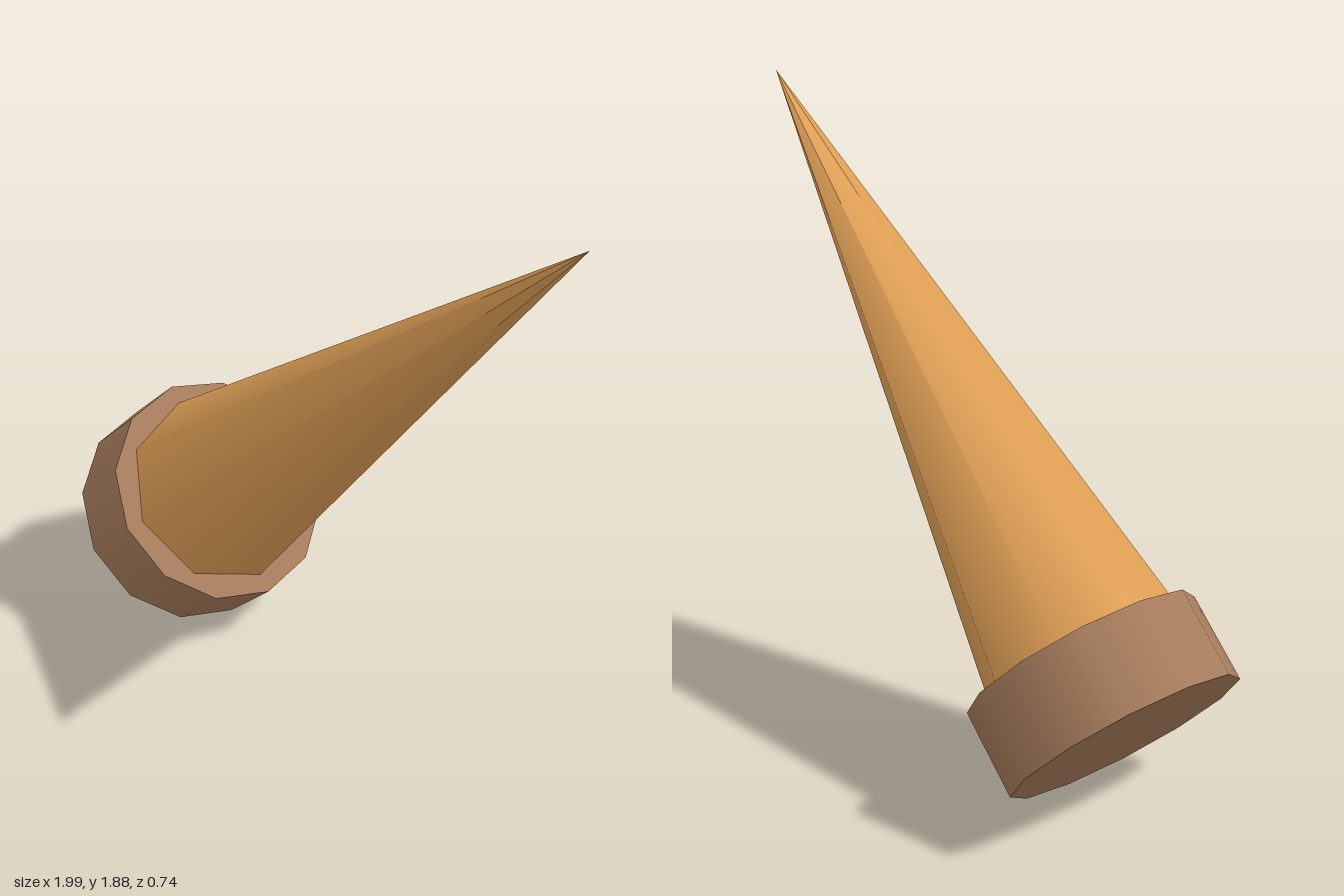
import * as THREE from 'three';

// Places a mesh with its long axis leaning towards +x by the given angle
function lean(geometry, material, name, x, y, degrees) {
  const mesh = new THREE.Mesh(geometry, material);
  mesh.name = name;
  mesh.position.set(x, y, 0);
  mesh.rotation.z = -THREE.MathUtils.degToRad(degrees);
  return mesh;
}

export function createModel() {
  const group = new THREE.Group();
  group.name = 'leaningSpike';

  const brown = new THREE.MeshStandardMaterial({ color: 0xa67c5c });
  brown.name = 'brown';
  const amber = new THREE.MeshStandardMaterial({ color: 0xe0a056 });
  amber.name = 'amber';

  // Twelve-sided collar, smooth around its side
  const collar = new THREE.CylinderGeometry(0.37, 0.37, 0.272, 12);
  group.add(lean(collar, brown, 'collar', -0.653, 0.368, 48.2));

  // Eight-sided smooth spike, its base sunk slightly into the collar
  const length = 2.116;
  const spike = new THREE.ConeGeometry(0.313, length, 8);
  spike.translate(0, -length / 2, 0); // pivot at the tip
  group.add(lean(spike, amber, 'spike', 0.993, 1.877, 47.5));

  return group;
}
